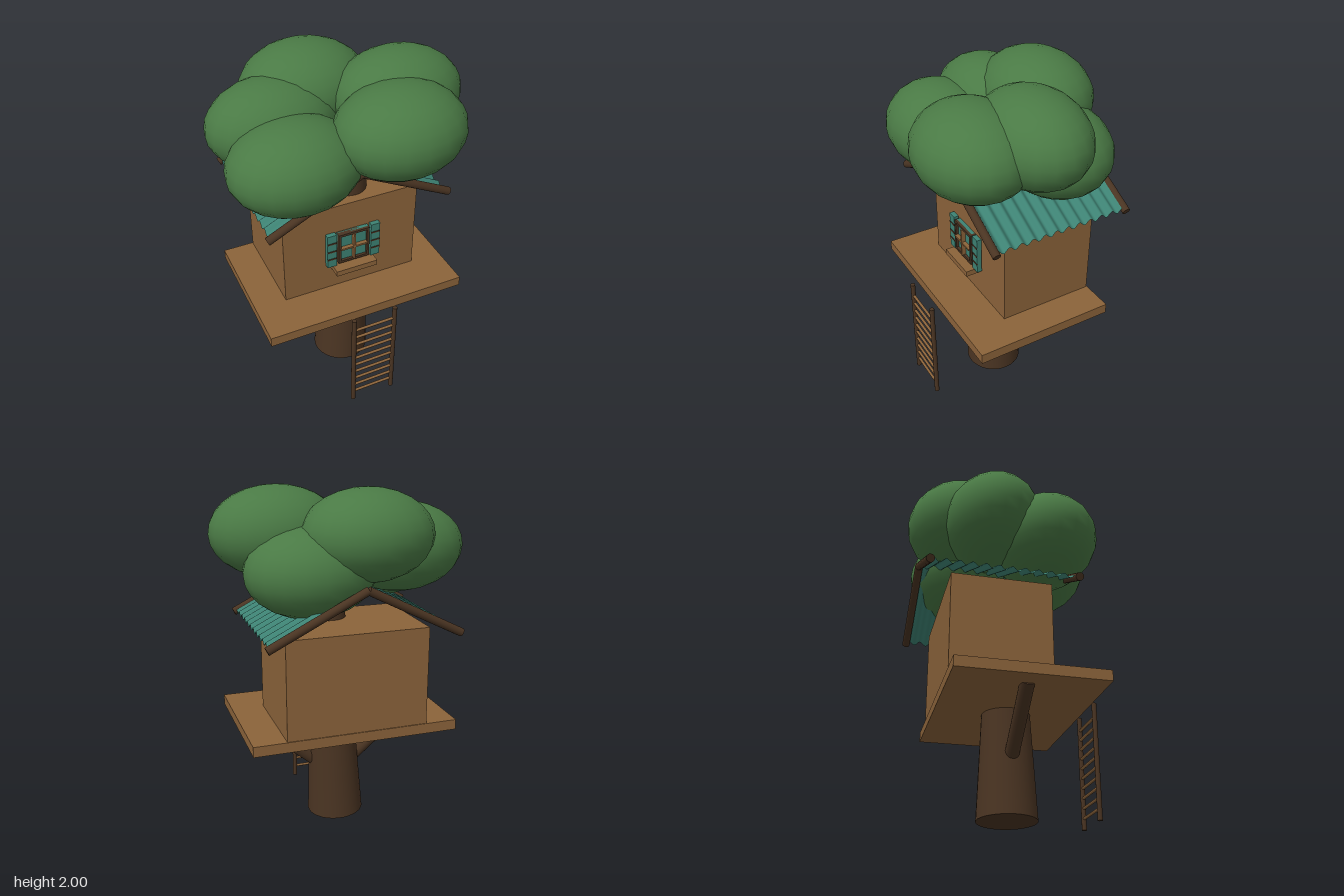
import * as THREE from 'three';

const mat = (name, color, side = THREE.FrontSide) => {
  const m = new THREE.MeshStandardMaterial({ color, side });
  m.name = name;
  return m;
};

export function createModel() {
  const root = new THREE.Group();
  root.name = 'treehouse';
  const bark = mat('bark', 0x4a3422);
  const wood = mat('wood', 0x8b633a);
  const leaf = mat('leaf', 0x4a7a45);
  const teal = mat('teal', 0x3d8273);
  const roofTeal = mat('roof teal', 0x3d8273, THREE.DoubleSide);

  const add = (name, geo, material, parent = root) => {
    const m = new THREE.Mesh(geo, material);
    m.name = name;
    parent.add(m);
    return m;
  };
  // Box given by its low and high corners
  const box = (name, lo, hi, material, parent) => {
    const s = hi.map((v, i) => v - lo[i]);
    const m = add(name, new THREE.BoxGeometry(...s), material, parent);
    m.position.set(...lo.map((v, i) => v + s[i] / 2));
    return m;
  };
  // Round pole from point a to point b
  const pole = (name, a, b, ra, rb, material, parent, sides = 16) => {
    const p = new THREE.Vector3(...a), q = new THREE.Vector3(...b);
    const m = add(name, new THREE.CylinderGeometry(rb, ra, p.distanceTo(q), sides), material, parent);
    m.position.copy(p).lerp(q, 0.5);
    m.quaternion.setFromUnitVectors(new THREE.Vector3(0, 1, 0), q.sub(p).normalize());
    return m;
  };

  // Leaning trunk and the two platform braces
  pole('trunk', [-0.015, 0.007, 0.03], [0.04, 1.435, 0.03], 0.168, 0.096, bark, root, 32);
  pole('leftBrace', [0.07, 0.31, 0.03], [0.45, 0.63, 0.03], 0.04, 0.04, bark);
  pole('rightBrace', [-0.09, 0.31, 0.03], [-0.475, 0.63, 0.03], 0.04, 0.04, bark);

  // Platform and cabin
  box('platform', [-0.615, 0.61, -0.38], [0.58, 0.67, 0.44], wood);
  box('cabin', [-0.43, 0.67, -0.375], [0.39, 1.24, 0.19], wood);

  // Ladder
  const ladder = new THREE.Group();
  ladder.name = 'ladder';
  root.add(ladder);
  for (const x of [-0.145, 0.11])
    pole('ladderRail', [x, 0.01, 0.505], [x, 0.67, 0.505], 0.014, 0.014, bark, ladder, 12);
  for (let i = 0; i < 10; i++) {
    const y = 0.075 + i * 0.0572;
    pole('ladderRung', [-0.145, y, 0.505], [0.11, y, 0.505], 0.0085, 0.0085, wood, ladder, 10);
  }

  // Window with frame, glazing bars, sill and shutters
  const win = new THREE.Group();
  win.name = 'window';
  root.add(win);
  const [x0, x1, y0, y1] = [-0.113, 0.078, 0.86, 1.062];
  box('windowGlass', [x0, y0, 0.19], [x1, y1, 0.212], teal, win);
  for (const x of [x0, x1 - 0.015]) box('frameSide', [x, y0, 0.19], [x + 0.015, y1, 0.228], bark, win);
  for (const y of [y0, y1 - 0.015]) box('frameRail', [x0, y, 0.19], [x1, y + 0.015, 0.228], bark, win);
  box('uprightBar', [-0.023, y0 + 0.012, 0.2], [-0.012, y1 - 0.012, 0.238], wood, win);
  box('crossBar', [x0 + 0.012, 0.955, 0.2], [x1 - 0.012, 0.966, 0.236], wood, win);
  box('windowSill', [-0.145, 0.812, 0.19], [0.108, 0.846, 0.275], wood, win);
  for (const x of [-0.18, 0.09]) {
    box('shutter', [x, 0.848, 0.195], [x + 0.056, 1.07, 0.224], teal, win);
    for (const y of [0.899, 0.953, 1.01])
      box('shutterSlat', [x, y, 0.22], [x + 0.056, y + 0.009, 0.227], bark, win);
  }

  // Corrugated roof: ridge along z, waves across the slope
  const ridge = [-0.017, 1.505], slope = 0.5, half = 0.522;
  const zFront = 0.3, zBack = -0.49, waves = 11;
  for (const s of [1, -1]) {
    const geo = new THREE.PlaneGeometry(1, 1, 1, waves * 10);
    const p = geo.attributes.position;
    for (let i = 0; i < p.count; i++) {
      const d = (p.getX(i) + 0.5) * half, t = p.getY(i) + 0.5;
      const w = 0.013 * Math.cos(t * waves * Math.PI * 2);
      p.setXYZ(i, ridge[0] + s * d, ridge[1] - d * slope + w, THREE.MathUtils.lerp(zFront, zBack, t));
    }
    if (s < 0) {
      const ix = geo.index.array;
      for (let i = 0; i < ix.length; i += 3) [ix[i], ix[i + 1]] = [ix[i + 1], ix[i]];
    }
    geo.computeVertexNormals();
    add(s > 0 ? 'leftRoof' : 'rightRoof', geo, roofTeal);
    // Gable poles at both ends
    for (const z of [0.312, -0.505])
      pole('gablePole', [ridge[0], ridge[1], z], [ridge[0] + s * 0.537, ridge[1] - 0.537 * slope, z], 0.023, 0.023, bark);
  }

  // Foliage clumps: centre and radii
  const clumps = [
    [-0.09, 1.75, -0.285, 0.365, 0.25, 0.305],
    [0.333, 1.75, 0, 0.368, 0.25, 0.285],
    [0.21, 1.697, 0.277, 0.365, 0.25, 0.308],
    [-0.337, 1.655, -0.13, 0.368, 0.25, 0.275],
    [-0.335, 1.565, 0.175, 0.365, 0.25, 0.302],
    [0.205, 1.565, -0.222, 0.362, 0.25, 0.305],
  ];
  for (const [x, y, z, rx, ry, rz] of clumps) {
    const m = add('foliage', new THREE.SphereGeometry(1, 20, 14), leaf);
    m.position.set(x, y, z);
    m.scale.set(rx, ry, rz);
  }
  return root;
}
